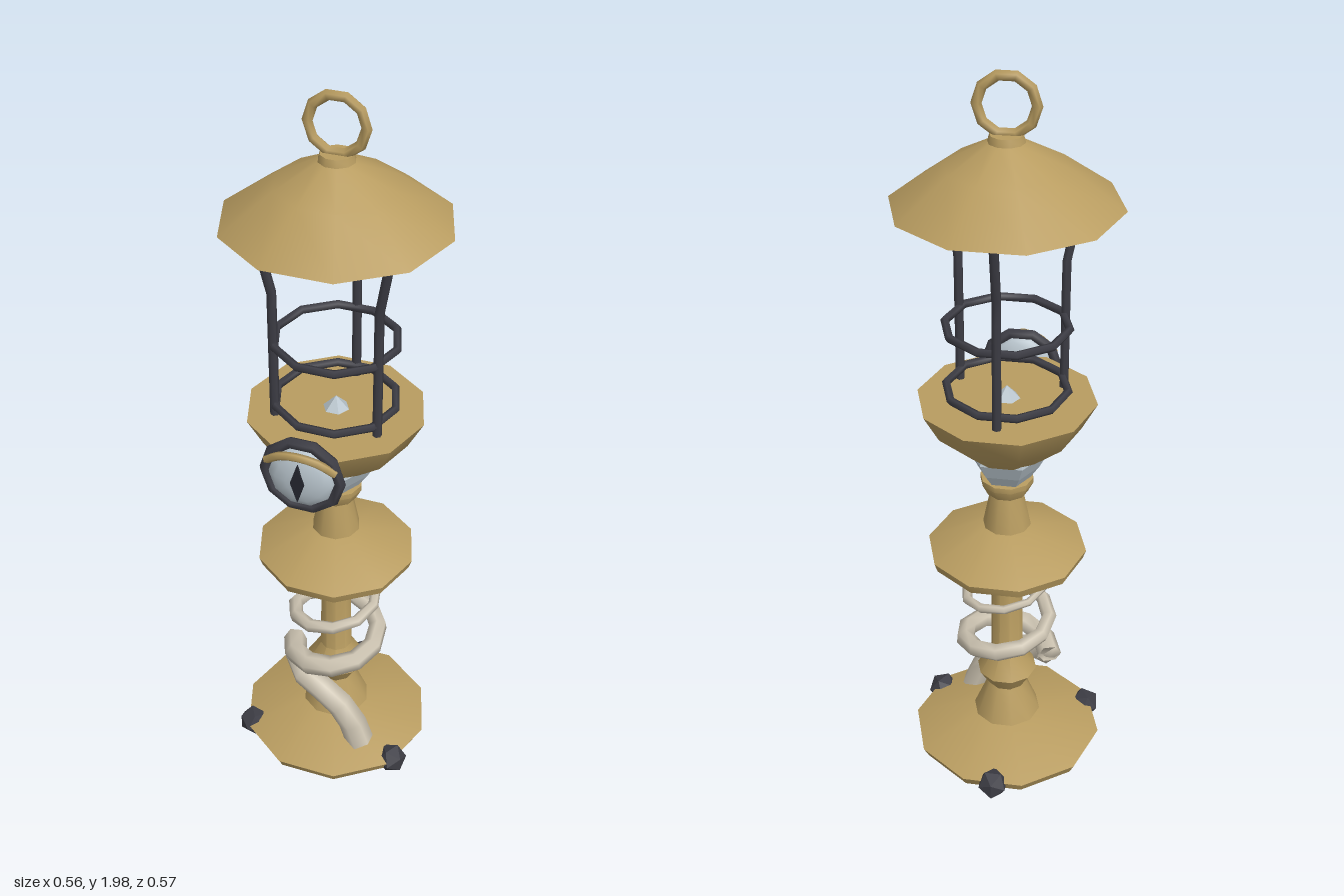
import * as THREE from 'three';
import { toCreasedNormals } from 'three/addons/utils/BufferGeometryUtils.js';

const mat = (name, color) => {
  const m = new THREE.MeshStandardMaterial({ color });
  m.name = name;
  return m;
};
const V = (x, y, z) => new THREE.Vector3(x, y, z);

export function createModel() {
  const brass = mat('brass', 0xb89c60);
  const iron = mat('dark iron', 0x3d3d45);
  const bone = mat('bone', 0xcdc4b2);
  const crystal = mat('crystal', 0xb9c5cd);
  const black = mat('pupil', 0x24262e);

  const root = new THREE.Group();
  const add = (name, geo, material, parent = root) => {
    const m = new THREE.Mesh(geo, material);
    m.name = name;
    parent.add(m);
    return m;
  };
  // turned part with a corner on the x axis; profile runs bottom to top
  const turned = (name, profile, material, sides = 10, crease = 0.65) => {
    const pts = profile.map(([r, y]) => new THREE.Vector2(r, y));
    const geo = new THREE.LatheGeometry(pts, sides, sides === 10 ? Math.PI / 10 : Math.PI / 6);
    return add(name, toCreasedNormals(geo, crease), material);
  };
  // tube through straight-joined points, tapering from r0 to r1
  const taperTube = (curve, steps, r0, r1, sides) => {
    const geo = new THREE.TubeGeometry(curve, steps, 1, sides);
    const p = geo.attributes.position;
    const v = V(0, 0, 0);
    for (let i = 0; i <= steps; i++) {
      const c = curve.getPointAt(i / steps);
      const r = r0 + (r1 - r0) * (i / steps);
      for (let j = 0; j <= sides; j++) {
        const k = i * (sides + 1) + j;
        v.fromBufferAttribute(p, k).sub(c).multiplyScalar(r).add(c);
        p.setXYZ(k, v.x, v.y, v.z);
      }
    }
    return geo;
  };

  // base, column and its collars
  turned('base', [[0, 0.03], [0.25, 0.03], [0.265, 0.06], [0.09, 0.125], [0, 0.125]], brass);
  turned('column', [
    [0.095, 0.12], [0.053, 0.225], [0.083, 0.275], [0.045, 0.34], [0.041, 0.635],
    [0.08, 0.675], [0, 0.675],
  ], brass);
  turned('drip disc', [[0, 0.675], [0.205, 0.675], [0.213, 0.7], [0.065, 0.77], [0, 0.77]], brass);
  turned('upper stem', [
    [0.065, 0.765], [0.043, 0.875], [0.055, 0.875], [0.07, 0.905], [0.07, 0.92], [0, 0.925],
  ], brass);

  // crystal under the bowl and its tip inside the cage
  turned('crystal seat', [[0, 0.91], [0.055, 0.91], [0.085, 0.955], [0.108, 1.0], [0.1, 1.03], [0, 1.06]],
    crystal, 6, 0.1);
  turned('crystal tip', [[0.04, 1.14], [0.034, 1.155], [0, 1.19]], crystal, 6, 0.1);

  // bowl
  turned('bowl', [[0, 1.0], [0.1, 1.0], [0.19, 1.08], [0.23, 1.155], [0, 1.155]], brass);

  // three feet and three cage posts
  for (let i = 0; i < 3; i++) {
    const a = Math.PI + (i * Math.PI * 2) / 3;
    const at = (r, y) => V(Math.sin(a) * r, y, Math.cos(a) * r);
    const foot = add('foot', new THREE.IcosahedronGeometry(0.043, 0), iron);
    foot.position.copy(at(0.245, 0.05));
    foot.rotation.y = a;
    const path = new THREE.CurvePath();
    path.add(new THREE.LineCurve3(at(0.155, 1.13), at(0.155, 1.505)));
    path.add(new THREE.LineCurve3(at(0.155, 1.505), at(0.195, 1.69)));
    add('cage post', new THREE.TubeGeometry(path, 9, 0.012, 6), iron);
  }
  // cage hoops
  for (const y of [1.185, 1.36]) {
    const hoop = add('cage hoop', new THREE.TorusGeometry(0.155, 0.011, 5, 10), iron);
    hoop.rotation.x = Math.PI / 2;
    hoop.position.y = y;
  }

  // roof with hanging ring
  const roof = turned('roof', [
    [0, 1.68], [0.282, 1.68], [0.15, 1.775], [0.045, 1.832], [0.04, 1.85], [0, 1.85],
  ], brass);
  roof.position.z = -0.005;
  const ring = add('hanging ring', new THREE.TorusGeometry(0.07, 0.013, 6, 10), brass);
  ring.position.set(0, 1.918, -0.004);

  // horn tendril rising from the base and coiling round the column
  const pts = [V(0.115, 0.085, 0.12), V(0.075, 0.18, 0.115), V(0.0, 0.245, 0.11), V(-0.085, 0.28, 0.08)];
  const steps = 18;
  for (let i = 0; i <= steps; i++) {
    const a = -Math.PI / 2 + (i / steps) * 2.25 * Math.PI * 2;
    const r = 0.122 - 0.012 * (i / steps);
    pts.push(V(Math.sin(a) * r, 0.31 + 0.32 * (i / steps), Math.cos(a) * r));
  }
  const coil = new THREE.CatmullRomCurve3(pts, false, 'centripetal');
  add('tendril', taperTube(coil, 30, 0.04, 0.006, 6), bone).material.side = THREE.DoubleSide;

  // eye medallion on the front of the bowl
  const eye = new THREE.Group();
  eye.name = 'eye';
  eye.position.set(0, 1.115, 0.24);
  root.add(eye);
  add('eye frame', new THREE.TorusGeometry(0.096, 0.015, 6, 10), iron, eye);
  const ball = add('eyeball', new THREE.SphereGeometry(0.088, 10, 8), crystal, eye);
  ball.rotation.x = Math.PI / 2;
  ball.scale.set(1, 0.4, 1);
  const slit = new THREE.Shape([[0, -0.055], [0.018, 0], [0, 0.055], [-0.018, 0]]
    .map(([x, y]) => new THREE.Vector2(x, y)));
  const pupil = add('pupil', new THREE.ExtrudeGeometry(slit, { depth: 0.008, bevelEnabled: false }), black, eye);
  pupil.position.z = 0.03;
  const brow = new THREE.CatmullRomCurve3([
    V(-0.088, 0.035, 0.012), V(-0.05, 0.065, 0.026), V(0, 0.078, 0.034), V(0.05, 0.065, 0.026), V(0.088, 0.035, 0.012),
  ]);
  add('eyelid', new THREE.TubeGeometry(brow, 8, 0.011, 5), brass, eye);

  return root;
}
